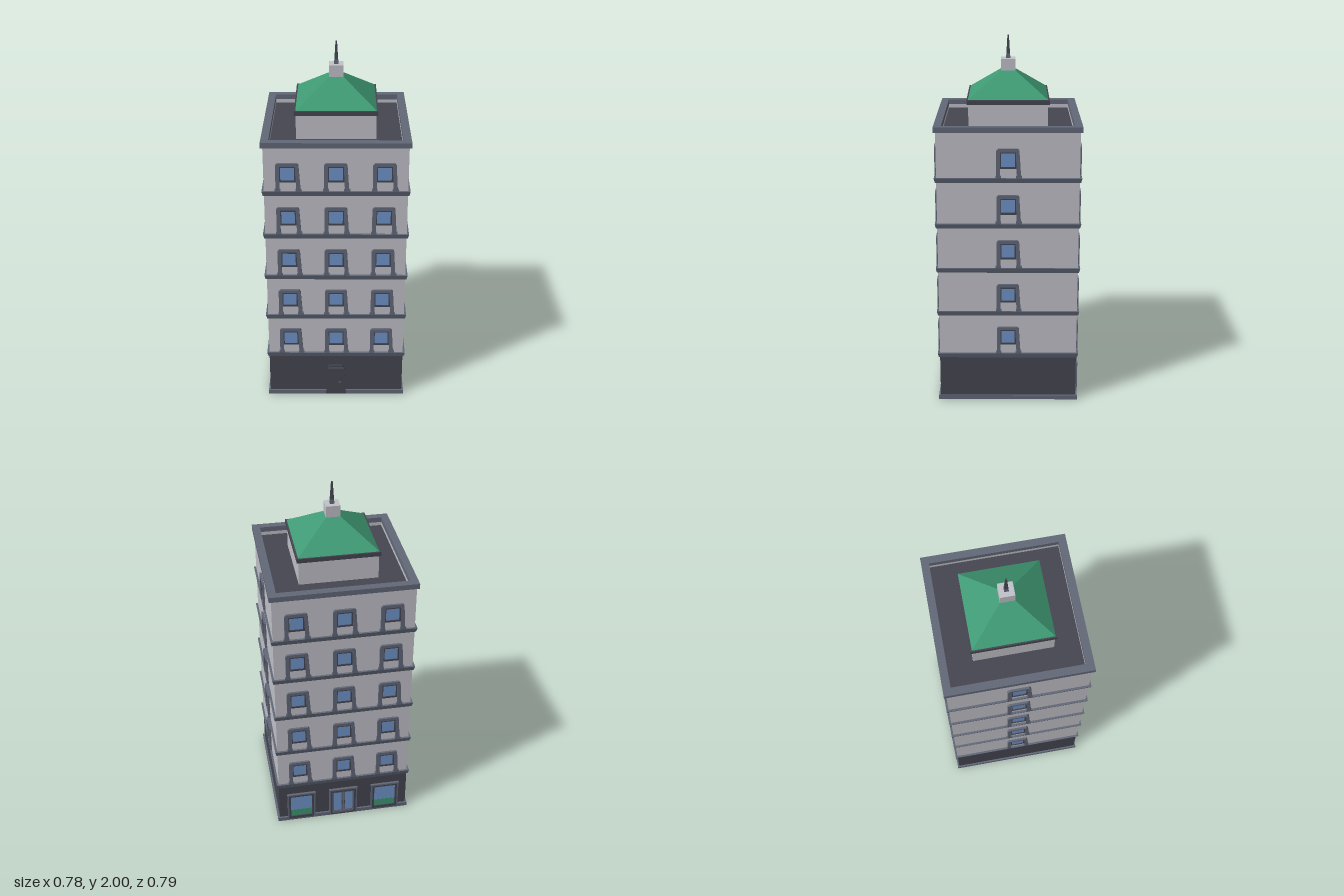
import * as THREE from 'three';

const mat = (name, color) => {
  const m = new THREE.MeshStandardMaterial({ color });
  m.name = name;
  return m;
};

export function createModel() {
  const stone = mat('pale stone', 0xc2c2ca);
  const slate = mat('slate trim', 0x636979);
  const dark = mat('dark stone', 0x464652);
  const glass = mat('blue glass', 0x7095cc);
  const green = mat('green copper', 0x3f9a74);

  const tower = new THREE.Group();
  tower.name = 'tower';

  const add = (parent, name, geometry, material, x = 0, y = 0, z = 0) => {
    const mesh = new THREE.Mesh(geometry, material);
    mesh.name = name;
    mesh.position.set(x, y, z);
    parent.add(mesh);
    return mesh;
  };
  // Box given by its x centre, y range and z range
  const block = (parent, name, material, x, w, y0, y1, z0, z1) =>
    add(parent, name, new THREE.BoxGeometry(w, y1 - y0, z1 - z0), material, x, (y0 + y1) / 2, (z0 + z1) / 2);
  // Square block whose half width goes from a at the bottom to b at the top
  const frustum = (name, material, a, b, y0, y1) => {
    const g = new THREE.CylinderGeometry(b * Math.SQRT2, a * Math.SQRT2, y1 - y0, 4, 1).toNonIndexed();
    g.rotateY(Math.PI / 4);
    g.computeVertexNormals();
    return add(tower, name, g, material, 0, (y0 + y1) / 2, 0);
  };
  const path = (Kind, pts) => new Kind(pts.map(([x, y]) => new THREE.Vector2(x, y)));
  const extrude = (pts, depth, hole) => {
    const s = path(THREE.Shape, pts);
    if (hole) s.holes.push(path(THREE.Path, hole));
    return new THREE.ExtrudeGeometry(s, { depth, bevelEnabled: false });
  };
  const rect = (w, y0, y1) => [[-w, y0], [w, y0], [w, y1], [-w, y1]];
  // Square ring lying flat
  const ring = (name, material, outer, inner, y0, y1) => {
    const g = extrude(rect(outer, -outer, outer), y1 - y0, rect(inner, -inner, inner));
    g.rotateX(-Math.PI / 2);
    return add(tower, name, g, material, 0, y0, 0);
  };

  // Walls, plinth and storey bands
  const step = 0.2535;
  frustum('plinth', slate, 0.39, 0.39, 0, 0.025);
  frustum('groundFloor', dark, 0.38, 0.38, 0.001, 0.262);
  frustum('upperWalls', stone, 0.38, 0.38, 0.262, 1.524);
  frustum('underside', dark, 0.385, 0.385, -0.0005, 0.001);
  for (let i = 0; i < 5; i++) {
    const y = 0.26 + i * step;
    frustum('storeyBand', slate, 0.386, 0.392, y, y + 0.026);
  }

  // Parapet, sunken roof deck and cornice
  ring('parapet', stone, 0.38, 0.35, 1.524, 1.546);
  ring('cornice', slate, 0.392, 0.35, 1.546, 1.575);
  frustum('roofDeck', dark, 0.35, 0.35, 1.518, 1.526);

  // Rooftop pavilion with hipped roof and spire
  frustum('pavilion', stone, 0.213, 0.213, 1.526, 1.66);
  frustum('pavilionEave', dark, 0.222, 0.222, 1.66, 1.684);
  frustum('hippedRoof', green, 0.214, 0.036, 1.684, 1.815);
  frustum('lantern', stone, 0.039, 0.039, 1.805, 1.876);
  frustum('spireBase', slate, 0.012, 0.01, 1.876, 1.9);
  frustum('spire', dark, 0.01, 0.004, 1.9, 2);

  // Window: stepped surround open at the foot, inner frame and pane
  const surround = extrude([
    [-0.062, 0], [-0.041, 0], [-0.041, 0.143], [0.041, 0.143], [0.047, 0],
    [0.07, 0], [0.06, 0.15], [0.052, 0.16], [-0.052, 0.16], [-0.062, 0.15],
  ], 0.012);
  const innerFrame = extrude(rect(0.046, 0.053, 0.147), 0.009, rect(0.036, 0.063, 0.135));
  const pane = new THREE.BoxGeometry(0.076, 0.076, 0.005);
  const addWindow = (side, x, y) => {
    const w = new THREE.Group();
    w.name = 'window';
    w.position.set(x, y, 0.38);
    add(w, 'windowSurround', surround, slate);
    add(w, 'windowFrame', innerFrame, dark);
    add(w, 'windowPane', pane, glass, 0, 0.099, 0.002);
    block(w, 'leftFoot', slate, -0.052, 0.03, 0, 0.014, 0, 0.012);
    block(w, 'rightFoot', slate, 0.059, 0.032, 0, 0.014, 0, 0.012);
    side.add(w);
  };

  // Four sides: three windows per storey front and back, one on the flanks
  const sides = ['front', 'left', 'back', 'right'].map((name, k) => {
    const side = new THREE.Group();
    side.name = name + 'Side';
    side.rotation.y = k * Math.PI / 2;
    tower.add(side);
    for (let i = 0; i < 5; i++)
      for (const x of k % 2 ? [0] : [-0.255, 0, 0.255]) addWindow(side, x, 0.286 + i * step);
    return side;
  });

  // Plain front door with a tapering surround
  const [front, , back] = sides;
  add(front, 'doorSurround', extrude([
    [-0.058, 0], [-0.045, 0], [-0.036, 0.175], [0.036, 0.175], [0.045, 0],
    [0.058, 0], [0.047, 0.185], [0.038, 0.198], [-0.038, 0.198], [-0.047, 0.185],
  ], 0.014), dark, 0, 0, 0.378);
  block(front, 'door', dark, 0, 0.092, 0.001, 0.176, 0.378, 0.391);
  block(front, 'doorLintel', slate, 0, 0.084, 0.178, 0.186, 0.38, 0.393);
  block(front, 'doorHandle', slate, 0.022, 0.014, 0.079, 0.085, 0.388, 0.393);

  // Shop windows with a green lower panel on the back
  for (const x of [-0.25, 0.25]) {
    add(back, 'shopSurround', extrude(rect(0.08, 0.012, 0.196), 0.013, rect(0.063, 0.028, 0.18)), dark, x, 0, 0.379);
    block(back, 'shopLintel', slate, x, 0.17, 0.19, 0.2, 0.379, 0.393);
    block(back, 'shopPane', glass, x, 0.128, 0.074, 0.182, 0.379, 0.384);
    block(back, 'shopPanel', green, x, 0.128, 0.027, 0.074, 0.379, 0.385);
    for (const s of [-1, 1]) block(back, 'shopPost', slate, x + s * 0.078, 0.008, 0.002, 0.19, 0.379, 0.3925);
  }

  // Glazed double door between the shop windows
  add(back, 'entranceSurround', extrude(rect(0.08, 0.004, 0.196), 0.013, rect(0.064, 0.012, 0.178)), dark, 0, 0, 0.379);
  block(back, 'entranceLintel', slate, 0, 0.17, 0.19, 0.2, 0.379, 0.393);
  for (const s of [-1, 1]) {
    block(back, 'entrancePane', glass, s * 0.034, 0.05, 0.03, 0.172, 0.379, 0.385);
    add(back, 'entranceLeaf', extrude(rect(0.032, 0.012, 0.178), 0.009, rect(0.023, 0.03, 0.17)), slate, s * 0.033, 0, 0.379);
    block(back, 'entranceHandle', dark, s * 0.007, 0.004, 0.08, 0.11, 0.388, 0.392);
    block(back, 'entrancePost', slate, s * 0.079, 0.008, 0.002, 0.19, 0.379, 0.3925);
  }

  return tower;
}
